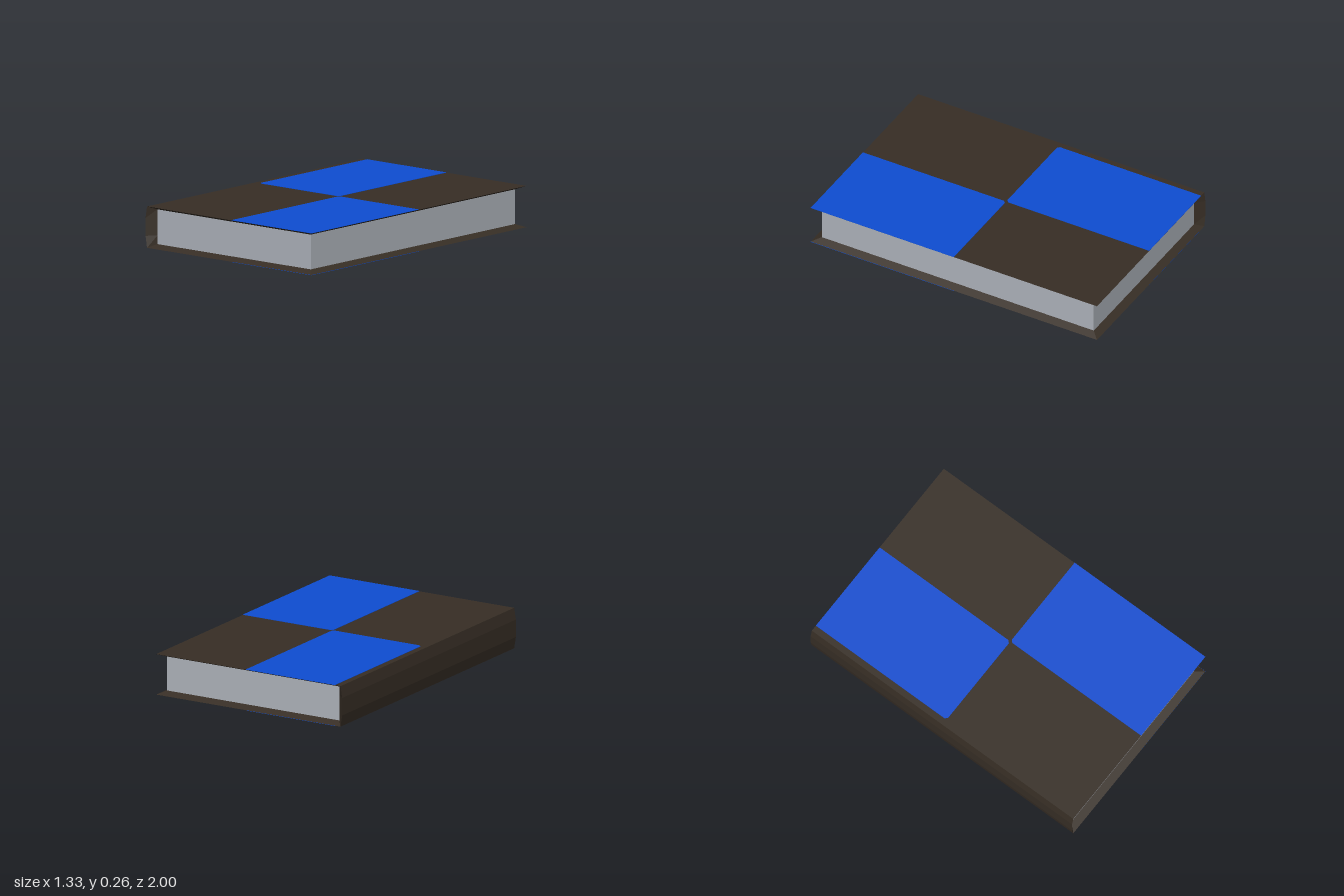
import * as THREE from 'three';

const leather = new THREE.MeshStandardMaterial({ color: 0x372e25 });
leather.name = 'dark brown leather';
const blue = new THREE.MeshStandardMaterial({ color: 0x0e4dd2 });
blue.name = 'blue panel';
const paper = new THREE.MeshStandardMaterial({ color: 0xadb2ba });
paper.name = 'grey paper';

const PLATE = 0.002;
const TOP = 0.26;

// Cover and spine: outer wrap whose rims bevel inward to the page block
function coverGeometry() {
  const hi = TOP - PLATE, lo = PLATE;
  const outer = [[0.663, hi], [-0.655, hi], [-0.667, 0.185], [-0.667, 0.075], [-0.655, lo], [0.663, lo]];
  const inner = [[0.615, 0.238], [-0.615, 0.238], [-0.615, 0.185], [-0.615, 0.075], [-0.615, 0.023], [0.615, 0.023]];
  const at = (pts, z) => pts.map(([x, y]) => [x, y, z]);
  const rings = [at(inner, 0.95), at(outer, 1), at(outer, -1), at(inner, -0.95)];
  const pos = [];
  const quad = (a, b, c, d) => pos.push(...a, ...b, ...c, ...a, ...c, ...d);
  for (let j = 0; j < 3; j++) {
    for (let i = 0; i < 5; i++) {
      quad(rings[j][i], rings[j + 1][i], rings[j + 1][i + 1], rings[j][i + 1]);
    }
  }
  // Sloped lips along the open edge
  const [inFront, outFront, outBack, inBack] = rings;
  quad(inFront[0], inBack[0], outBack[0], outFront[0]);
  quad(outFront[5], outBack[5], inBack[5], inFront[5]);
  const geo = new THREE.BufferGeometry();
  geo.setAttribute('position', new THREE.Float32BufferAttribute(pos, 3));
  geo.computeVertexNormals();
  return geo;
}

// Thin blue panel with outline points given as [x, z]
function panelGeometry(points) {
  const shape = new THREE.Shape(points.map(([x, z]) => new THREE.Vector2(x, -z)));
  return new THREE.ExtrudeGeometry(shape, { depth: PLATE, bevelEnabled: false }).rotateX(-Math.PI / 2);
}

export function createModel() {
  const book = new THREE.Group();
  book.name = 'book';
  const add = (name, geo, mat, y = 0) => {
    const mesh = new THREE.Mesh(geo, mat);
    mesh.name = name;
    mesh.position.y = y;
    book.add(mesh);
  };

  add('cover', coverGeometry(), leather);
  add('pages', new THREE.BoxGeometry(1.23, 0.215, 1.9), paper, 0.1305);

  // Diagonal pair of panels on each cover, with clipped inner corners
  const c = 0.015, mid = 0.022;
  const frontPanel = panelGeometry([[mid, 1], [0.664, 1], [0.664, 0], [mid + c, 0], [mid, c]]);
  const backPanel = panelGeometry([[-0.615, -1], [-0.615, -c], [-0.615 + c, 0], [mid - c, 0], [mid, -c], [mid, -1]]);
  for (const [side, y] of [['top', TOP - PLATE], ['bottom', 0]]) {
    add(side + 'FrontPanel', frontPanel, blue, y);
    add(side + 'BackPanel', backPanel, blue, y);
  }
  return book;
}
